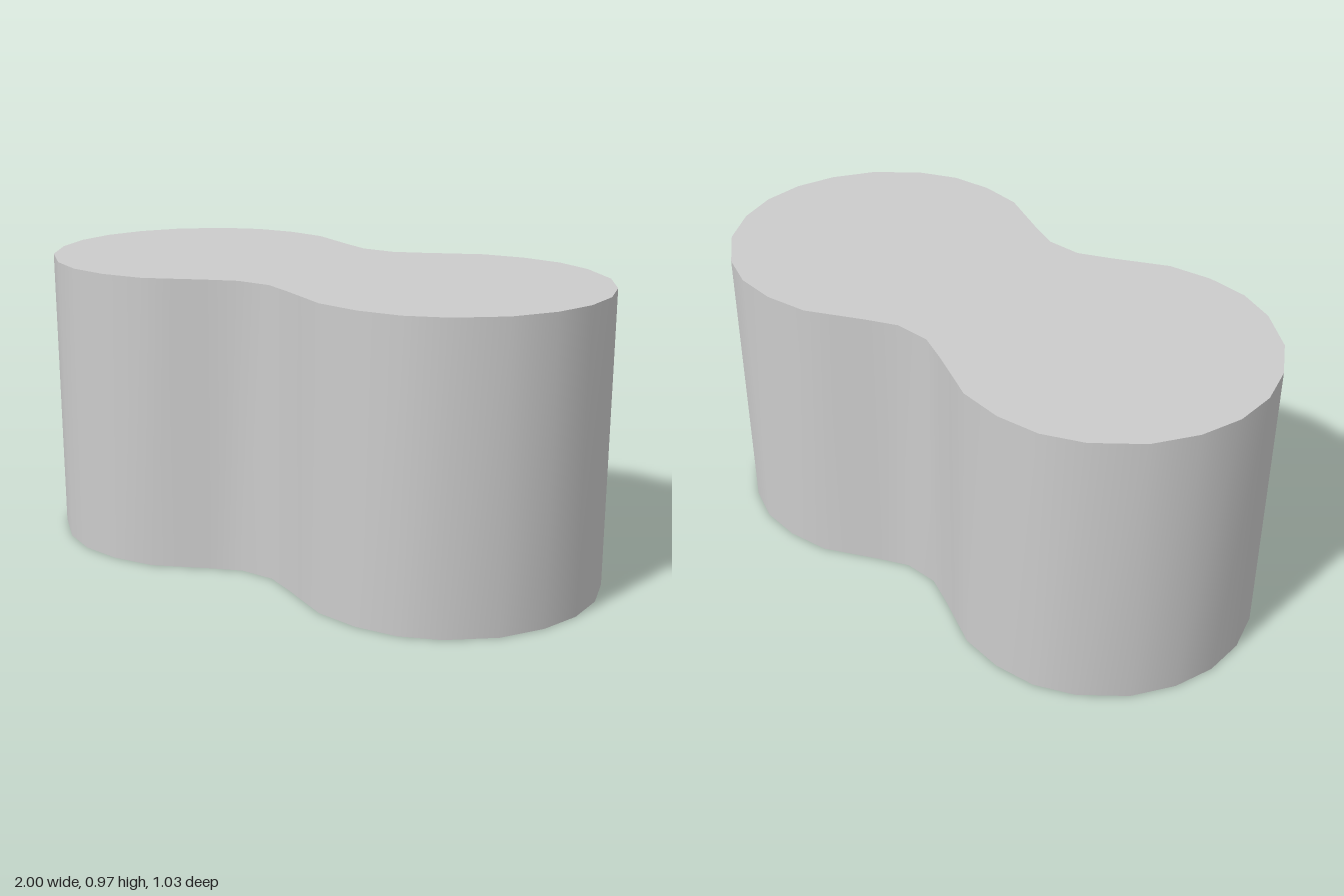
import * as THREE from 'three';

const HEIGHT = 0.97;

// One quarter of the peanut-shaped plan, from the end round to the waist (x, z)
const QUARTER = [
  [1, 0.07], [0.96, 0.205], [0.88, 0.335], [0.75, 0.445], [0.625, 0.5],
  [0.485, 0.515], [0.34, 0.495], [0.24, 0.445], [0.16, 0.405], [0.06, 0.36],
];

// Mirror the quarter into a closed outline
function planOutline() {
  const half = [...QUARTER, ...QUARTER.map(([x, z]) => [-x, z]).reverse()];
  return [...half, ...half.map(([x, z]) => [x, -z]).reverse()];
}

// Open upright wall, smooth all the way round
function wallGeometry(outline) {
  const n = outline.length;
  const positions = [];
  const index = [];
  outline.forEach(([x, z], i) => {
    positions.push(x, 0, z, x, HEIGHT, z);
    const a = 2 * i;
    const b = 2 * ((i + 1) % n);
    index.push(a, a + 1, b, b, a + 1, b + 1);
  });
  const geometry = new THREE.BufferGeometry();
  geometry.setAttribute('position', new THREE.Float32BufferAttribute(positions, 3));
  geometry.setIndex(index);
  geometry.computeVertexNormals();
  return geometry;
}

export function createModel() {
  const group = new THREE.Group();
  group.name = 'peanutShapedCover';
  const material = new THREE.MeshStandardMaterial({ color: 0xcccccc, side: THREE.DoubleSide });
  const outline = planOutline();

  const wall = new THREE.Mesh(wallGeometry(outline), material);
  wall.name = 'sideWall';

  // Flat lid; the underside stays open
  const shape = new THREE.Shape(outline.map(([x, z]) => new THREE.Vector2(x, -z)));
  const lid = new THREE.Mesh(new THREE.ShapeGeometry(shape).rotateX(-Math.PI / 2), material);
  lid.position.y = HEIGHT;
  lid.name = 'topPanel';

  group.add(wall, lid);
  return group;
}
